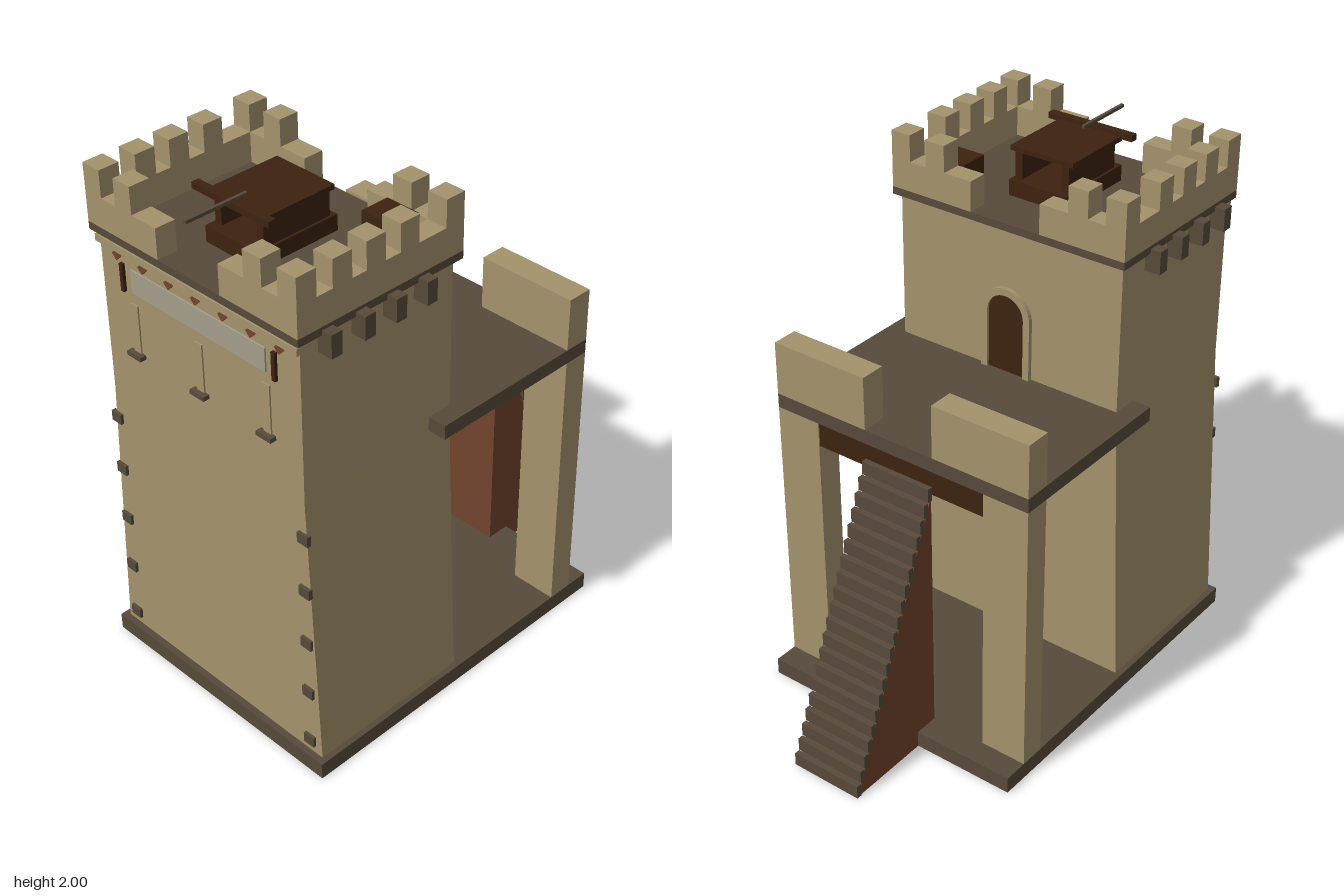
import * as THREE from 'three';

const mat = (name, color) => {
  const m = new THREE.MeshStandardMaterial({ color });
  m.name = name;
  return m;
};

export function createModel() {
  const stone = mat('sandstone', 0xa4926c);
  const dark = mat('dark stone', 0x564a3a);
  const wood = mat('dark wood', 0x3d220f);
  const brick = mat('red brick', 0x71442d);
  const cloth = mat('grey cloth', 0xa39d8a);

  const model = new THREE.Group();
  model.name = 'gateTower';
  const add = (name, geometry, material) => {
    const mesh = new THREE.Mesh(geometry, material);
    mesh.name = name;
    model.add(mesh);
    return mesh;
  };
  // Box given by its minimum and maximum on each axis
  const box = (name, m, x0, x1, y0, y1, z0, z1) => {
    const g = new THREE.BoxGeometry(x1 - x0, y1 - y0, z1 - z0);
    g.translate((x0 + x1) / 2, (y0 + y1) / 2, (z0 + z1) / 2);
    return add(name, g, m);
  };
  // Box repeated on both sides of x = 0
  const pair = (name, m, x0, x1, ...rest) => {
    box(name + 'Left', m, x0, x1, ...rest);
    box(name + 'Right', m, -x1, -x0, ...rest);
  };
  const polygon = (pts) => new THREE.Shape(pts.map(([x, y]) => new THREE.Vector2(x, y)));
  const extrude = (shape, depth) => new THREE.ExtrudeGeometry(shape, { depth, bevelEnabled: false, curveSegments: 10 });

  // Ground slab
  box('base', dark, -0.543, 0.543, 0, 0.065, -0.525, 0.87);

  // Tower body, battered below and straight above
  const body = extrude(polygon([
    [-0.52, 0.06], [0.52, 0.06], [0.47, 1.14], [0.47, 1.765], [-0.47, 1.765], [-0.47, 1.14],
  ]), 0.66);
  body.translate(0, 0, 0.185);
  add('towerBody', body, stone);

  // Rear deck on two piers with a cross beam
  box('deck', dark, -0.543, 0.543, 1.14, 1.195, -0.43, 0.285);
  pair('pier', stone, 0.36, 0.543, 0.065, 1.14, -0.43, -0.33);
  pair('deckParapet', stone, 0.145, 0.543, 1.195, 1.4, -0.43, -0.33);
  box('crossBeam', wood, -0.36, 0.36, 1.045, 1.14, -0.425, -0.335);

  // Staircase: brick wedge carrying stone treads
  const wedge = extrude(polygon([[0.43, 0], [0.857, 0], [0.43, 1.04]]), 0.28);
  wedge.rotateY(Math.PI / 2);
  wedge.translate(-0.14, 0, 0);
  add('stairWedge', wedge, brick);
  const steps = 20;
  for (let i = 0; i < steps; i++) {
    const top = 1.08 * (1 - i / steps), z = -0.43 - 0.022 * i;
    box('tread', dark, -0.145, 0.145, top - 0.052, top, z - 0.022, z);
  }

  // Arched rear door with a stone surround
  const arch = (Type, r) => {
    const s = new Type();
    s.moveTo(-r, 1.19);
    s.lineTo(r, 1.19);
    s.lineTo(r, 1.425);
    s.absarc(0, 1.425, r, 0, Math.PI, false);
    s.lineTo(-r, 1.19);
    return s;
  };
  const surround = arch(THREE.Shape, 0.105);
  surround.holes.push(arch(THREE.Path, 0.078));
  add('doorSurround', extrude(surround, 0.02), stone).position.z = 0.168;
  add('door', extrude(arch(THREE.Shape, 0.078), 0.008), wood).position.z = 0.179;

  // Roof slab and parapets, open in the middle at front and rear
  box('roofSlab', dark, -0.49, 0.49, 1.758, 1.787, 0.16, 0.87);
  pair('sideParapet', stone, 0.41, 0.49, 1.787, 1.9, 0.16, 0.87);
  for (const z of [0.16, 0.79]) {
    pair('endParapet', stone, 0.145, 0.41, 1.787, 1.9, z, z + 0.08);
    pair('cornerMerlon', stone, 0.41, 0.49, 1.9, 2, z, z + 0.08);
    pair('endMerlon', stone, 0.26, 0.34, 1.9, 2, z, z + 0.08);
  }
  for (const z of [0.36, 0.505, 0.645]) pair('sideMerlon', stone, 0.41, 0.49, 1.9, 2, z, z + 0.08);

  // Corbels under the side parapets
  for (const z of [0.34, 0.475, 0.61, 0.75]) {
    pair('corbel', dark, 0.465, 0.53, 1.69, 1.775, z - 0.022, z + 0.022);
  }

  // Front moulding with a row of diamonds
  box('moulding', stone, -0.475, 0.475, 1.717, 1.743, 0.84, 0.862);
  for (let i = -3; i <= 3; i++) {
    const d = extrude(polygon([[0, -0.02], [0.02, 0], [0, 0.02], [-0.02, 0]]), 0.008);
    add('diamond', d, brick).position.set(i * 0.128, 1.697, 0.845);
  }

  // Banner between two poles
  box('banner', cloth, -0.318, 0.318, 1.58, 1.668, 0.844, 0.851);
  pair('bannerPole', wood, 0.352, 0.368, 1.57, 1.675, 0.84, 0.857);

  // Arrow slits with sills
  for (const x of [-0.315, 0, 0.315]) {
    box('arrowSlit', stone, x - 0.017, x + 0.017, 1.35, 1.535, 0.843, 0.851);
    box('slitSill', dark, x - 0.034, x + 0.034, 1.335, 1.351, 0.843, 0.87);
  }

  // Corner stones on the front
  for (let i = 0; i < 5; i++) {
    const y = 0.12 + i * 0.2225;
    pair('cornerStone', dark, 0.441, 0.489, y - 0.02, y + 0.02, 0.84, 0.857);
  }

  // Roof siege engine: base, cheeks, cover, bow and bolt
  box('engineBase', wood, -0.122, 0.122, 1.787, 1.847, 0.35, 0.69);
  pair('engineCheek', wood, 0.083, 0.113, 1.847, 1.95, 0.375, 0.655);
  box('engineCover', wood, -0.132, 0.132, 1.948, 1.966, 0.37, 0.67);
  box('engineBow', wood, -0.178, 0.178, 1.957, 1.98, 0.66, 0.69);
  box('engineBolt', dark, -0.006, 0.006, 1.976, 1.988, 0.62, 0.868);

  // Roof crate
  box('crate', wood, 0.235, 0.37, 1.787, 1.907, 0.24, 0.355);

  return model;
}
